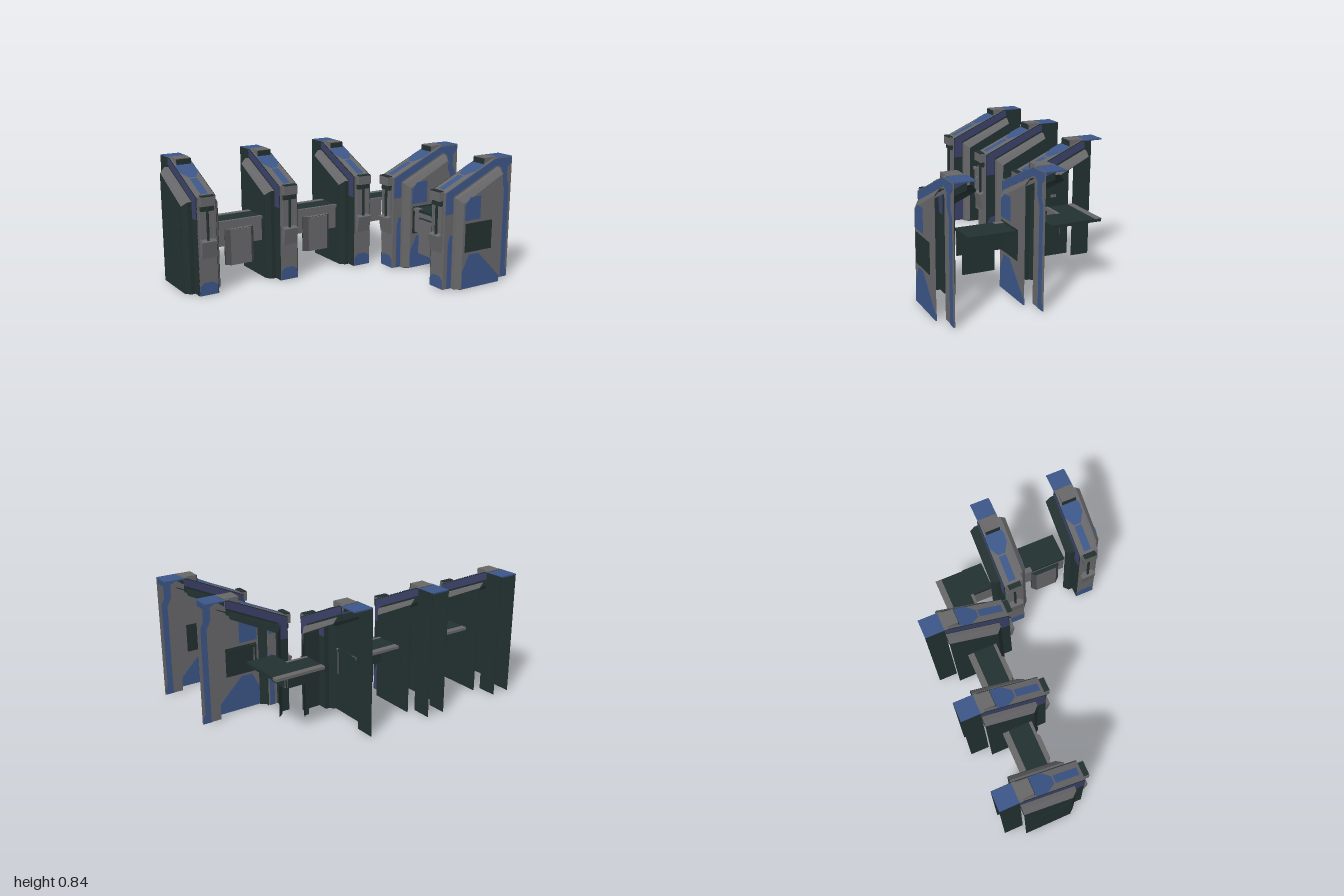
import * as THREE from 'three';

const material = (name, color) => {
  const m = new THREE.MeshStandardMaterial({ color, side: THREE.DoubleSide });
  m.name = name;
  return m;
};

export function createModel() {
  const grey = material('panel grey', 0x676668);
  const shade = material('trim grey', 0x4a494b);
  const blue = material('paint blue', 0x3c5688);
  const navy = material('paint violet', 0x3b4068);
  const teal = material('dark teal', 0x22302f);

  const add = (parent, name, geometry, mat) => {
    const mesh = new THREE.Mesh(geometry, mat);
    mesh.name = name;
    parent.add(mesh);
    return mesh;
  };
  const box = (parent, name, mat, x0, x1, y0, y1, z0, z1) =>
    add(parent, name, new THREE.BoxGeometry(x1 - x0, y1 - y0, z1 - z0), mat)
      .position.set((x0 + x1) / 2, (y0 + y1) / 2, (z0 + z1) / 2);

  // Flat convex sheet through points in space
  const sheet = (parent, name, mat, pts) => {
    const out = [];
    for (let i = 1; i < pts.length - 1; i++) out.push(...pts[0], ...pts[i], ...pts[i + 1]);
    const g = new THREE.BufferGeometry();
    g.setAttribute('position', new THREE.Float32BufferAttribute(out, 3));
    g.computeVertexNormals();
    return add(parent, name, g, mat);
  };

  // Thin plate standing in the z-y plane at a given x
  const plate = (parent, name, mat, x, pts, t = 0.004) => {
    const shape = new THREE.Shape(pts.map(([z, y]) => new THREE.Vector2(z, y)));
    const g = new THREE.ExtrudeGeometry(shape, { depth: t, bevelEnabled: false });
    g.rotateY(-Math.PI / 2);
    g.translate(x + t / 2, 0, 0);
    return add(parent, name, g, mat);
  };

  // Point on the sloping cap
  const slope = (x, z, lift = 0) => [x, 0.645 + (-0.12 - z) * 0.45 + lift, z];

  // Open-backed post facing +z; painted posts have the decorated +x side
  function post(painted, openSide) {
    const g = new THREE.Group();
    g.name = painted ? 'paintedPost' : 'post';

    // Side frames and chamfered side panels
    for (const s of [-1, 1]) {
      const bright = painted && s > 0;
      const open = s === openSide;
      const backLeg = open ? [[-0.55, 0.83]] : [[-0.68, 0.83], [-0.68, 0], [-0.55, 0]];
      plate(g, 'sideFrame', bright ? grey : teal, s * 0.065, [
        [-0.12, 0], [-0.12, 0.645], [-0.53, 0.83], ...backLeg,
        [-0.55, 0.74], [-0.19, 0.58], [-0.19, 0]]);
      plate(g, 'slopeStripe', bright ? blue : navy, s * 0.065, [
        [-0.125, 0.5], [-0.125, 0.642], [-0.53, 0.824], [-0.55, 0.824],
        [-0.55, 0.782], [-0.53, 0.775], [-0.185, 0.615], [-0.185, 0.5]], 0.009);
      if (bright) {
        plate(g, 'backStripe', blue, s * 0.065, [
          [-0.551, 0.825], [-0.675, 0.825], [-0.675, 0.79], [-0.64, 0.76], [-0.64, 0.68], [-0.66, 0.64],
          [-0.66, 0.07], [-0.675, 0.04], [-0.675, 0], [-0.62, 0], [-0.62, 0.62], [-0.59, 0.68],
          [-0.59, 0.76], [-0.551, 0.785]], 0.0095);
        plate(g, 'frontStripe', blue, s * 0.065, [
          [-0.15, 0], [-0.15, 0.3], [-0.165, 0.36], [-0.185, 0.36], [-0.185, 0]], 0.009);
      } else if (s > 0 && !open) {
        plate(g, 'footStripe', navy, s * 0.065, [
          [-0.122, 0], [-0.122, 0.13], [-0.15, 0.19], [-0.188, 0.2], [-0.188, 0]], 0.009);
      }

      // Flanges and chamfers, dark behind
      const a = s * 0.067, m = s * 0.095, b = s * 0.125;
      const skin = (name, mat, pts) => {
        sheet(g, name, mat, pts);
        sheet(g, name + 'Lining', teal, pts.map(([x, y, z]) => [x * 0.97, y - 0.004, z - 0.004]));
      };
      const frontMat = s < 0 ? teal : grey;
      const topMat = s < 0 && painted ? teal : grey;
      skin('frontFlange', frontMat,
        [[a, 0, -0.19], [m, 0, -0.19], [m, 0.605, -0.19], [a, 0.605, -0.19]]);
      skin('lowerChamfer', open && !painted ? teal : frontMat,
        [[m, 0, -0.19], [b, 0, -0.225], [b, 0.5, -0.225], [m, 0.5, -0.19]]);
      skin('upperChamfer', frontMat,
        [[m, 0.5, -0.19], [b, 0.5, -0.225], [b, 0.575, -0.225], [m, 0.605, -0.19]]);
      skin('topFlange', topMat,
        [[a, 0.605, -0.19], [m, 0.605, -0.19], [m, 0.77, -0.55], [a, 0.77, -0.55]]);
      skin('topChamfer', topMat,
        [[m, 0.605, -0.19], [b, 0.575, -0.225], [b, 0.735, -0.55], [m, 0.77, -0.55]]);

      if (open) continue;
      plate(g, 'sidePanel', bright ? grey : teal, b, [
        [-0.225, 0], [-0.225, 0.575], [-0.55, 0.735], [-0.55, 0]]);
      if (bright) {
        plate(g, 'upperPatch', blue, b, [
          [-0.237, 0.46], [-0.237, 0.565], [-0.28, 0.61], [-0.365, 0.615], [-0.365, 0.46]], 0.008);
        plate(g, 'lowerPatch', blue, b, [
          [-0.226, 0], [-0.226, 0.12], [-0.28, 0.23], [-0.36, 0.23], [-0.55, 0.04], [-0.55, 0]], 0.008);
      }
      plate(g, 'sideWindow', teal, b, [
        [-0.243, 0.247], [-0.243, 0.44], [-0.468, 0.44], [-0.468, 0.247]], 0.0098);
    }

    // Front column with dark lining
    box(g, 'frontColumn', grey, -0.065, 0.065, 0, 0.645, -0.124, -0.12);
    box(g, 'frontLining', teal, -0.063, 0.063, 0, 0.645, -0.13, -0.125);
    sheet(g, 'footPaint', blue, [
      [-0.063, 0, -0.117], [0.063, 0, -0.117], [0.063, 0.06, -0.117],
      [0.03, 0.085, -0.117], [-0.03, 0.085, -0.117], [-0.063, 0.06, -0.117]]);

    // Handle: bracket, rod and lower holder
    box(g, 'handleBracket', grey, -0.05, 0.05, 0.59, 0.65, -0.12, -0.085);
    box(g, 'bracketTop', teal, -0.045, 0.045, 0.65, 0.656, -0.12, -0.085);
    box(g, 'bracketClip', teal, -0.045, 0.045, 0.555, 0.59, -0.12, -0.1);
    const rod = add(g, 'handleRod', new THREE.CylinderGeometry(0.009, 0.009, 0.23, 8), teal);
    rod.position.set(0, 0.475, -0.105);
    for (const x of [-0.045, 0.045])
      box(g, 'rodGuard', grey, x - 0.005, x + 0.005, 0.37, 0.555, -0.12, -0.108);
    plate(g, 'lowerHolder', grey, 0, [
      [-0.12, 0.25], [-0.1, 0.25], [-0.08, 0.36], [-0.12, 0.37]], 0.1);

    // Sloping cap with painted inlays
    const capCorners = [[-0.065, -0.12], [0.065, -0.12], [0.065, -0.53], [-0.065, -0.53]];
    sheet(g, 'slopingCap', grey, capCorners.map(([x, z]) => slope(x, z)));
    sheet(g, 'capStripe', blue, [[-0.025, -0.14], [0.025, -0.14], [0.025, -0.3], [-0.025, -0.3]]
      .map(([x, z]) => slope(x, z, 0.004)));
    const patch = [[-0.025, -0.31], [0.025, -0.31], [0.064, -0.37], [0.064, -0.43],
      [0.047, -0.46], [-0.047, -0.46], [-0.064, -0.43], [-0.064, -0.37]];
    sheet(g, 'capPatch', blue, patch.map(([x, z]) => slope(x, z, 0.004)));
    const under = [[-0.035, -0.13], [0.035, -0.13], [0.035, -0.31], [0.06, -0.37],
      [0.06, -0.53], [-0.06, -0.53], [-0.06, -0.37], [-0.035, -0.31]];
    sheet(g, 'capUnderside', blue, under.map(([x, z]) => slope(x, z, -0.004)));
    box(g, 'topPlate', blue, -0.065, 0.065, 0.824, 0.832, -0.68, -0.55);
    box(g, 'topEdge', grey, -0.065, 0.065, 0.824, 0.832, -0.55, -0.525);
    box(g, 'topBlock', grey, -0.05, 0.05, 0.795, 0.836, -0.55, -0.45);
    for (const z of [-0.45, -0.55])
      box(g, 'blockEnd', teal, -0.05, 0.05, 0.792, 0.832, z - 0.003, z + 0.003);
    return g;
  }

  // Open-backed rail facing +z between two posts
  function rail(x0, x1, frontEnd) {
    const g = new THREE.Group();
    g.name = 'rail';
    box(g, 'railTop', teal, x0, x1, 0.412, 0.43, -0.45, -0.25);
    box(g, 'railFront', grey, x0, frontEnd, 0.26, 0.412, -0.268, -0.26);
    box(g, 'railLining', teal, x0, frontEnd, 0.26, 0.412, -0.274, -0.269);
    return g;
  }

  // Chamfered board hanging in front of a rail
  function board(c, topMat) {
    const g = new THREE.Group();
    g.name = 'board';
    box(g, 'boardFace', grey, c - 0.075, c + 0.075, 0.13, 0.37, -0.24, -0.23);
    box(g, 'boardBack', teal, c - 0.105, c + 0.105, 0.13, 0.375, -0.268, -0.258);
    for (const s of [-1, 1])
      sheet(g, 'boardEdge', shade, [
        [c + s * 0.075, 0.13, -0.23], [c + s * 0.105, 0.13, -0.258],
        [c + s * 0.105, 0.375, -0.258], [c + s * 0.075, 0.375, -0.23]]);
    sheet(g, 'boardTop', topMat, [[c - 0.105, 0.375, -0.26], [c - 0.075, 0.375, -0.23],
      [c + 0.075, 0.375, -0.23], [c + 0.105, 0.375, -0.26]]);
    return g;
  }

  const model = new THREE.Group();
  model.name = 'barrier';

  // Back row, its rails edged in grey
  [-0.875, -0.285, 0.305].forEach((x, i) => {
    const p = post(false, i === 2 ? 1 : 0);
    p.position.x = x;
    model.add(p);
  });
  for (const [x0, x1, frontEnd] of [[-0.76, -0.4, -0.4], [-0.17, 0.19, 0.19], [0.42, 0.765, 0.575]]) {
    const r = rail(x0, x1, frontEnd);
    box(r, 'railFrontEdge', grey, x0, frontEnd, 0.411, 0.432, -0.268, -0.248);
    box(r, 'railRearEdge', grey, x0, x1, 0.414, 0.432, -0.452, -0.41);
    model.add(r);
  }
  model.add(board(-0.585, grey), board(0.01, grey));

  // Side row, turned to face -x
  const wing = new THREE.Group();
  wing.name = 'sideRow';
  for (const z of [0, 0.55]) {
    const p = post(true, -1);
    p.position.x = z;
    wing.add(p);
  }
  const joiningRail = rail(0.115, 0.435, 0.435);
  box(joiningRail, 'railFrontEdge', grey, 0.12, 0.19, 0.411, 0.432, -0.285, -0.248);
  wing.add(joiningRail, rail(-0.255, -0.11, -0.11), board(0.29, teal));
  wing.rotation.y = -Math.PI / 2;
  wing.position.x = 0.32;
  model.add(wing);
  return model;
}
